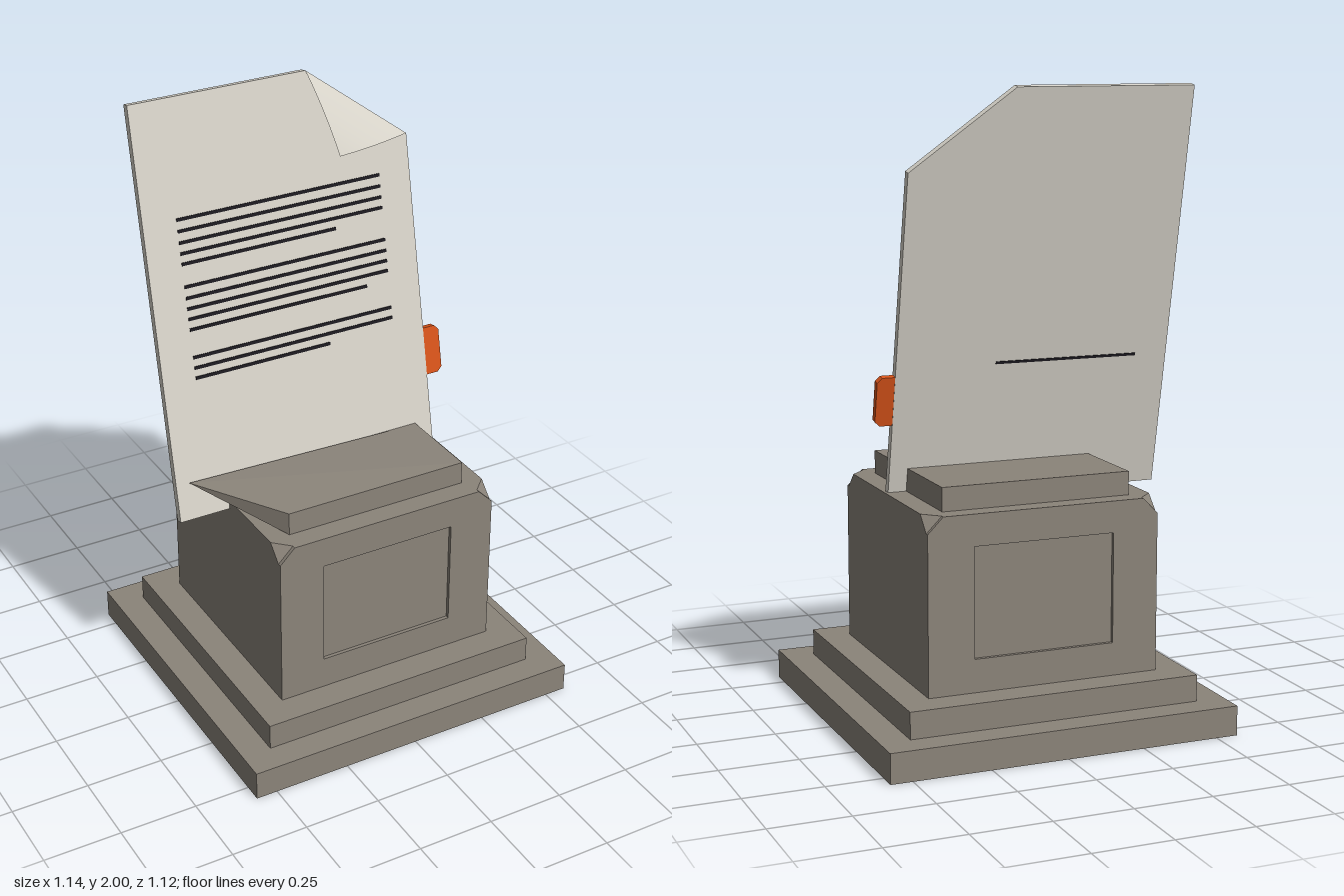
import * as THREE from 'three';
import { ConvexGeometry } from 'three/addons/geometries/ConvexGeometry.js';

const mat = (name, color, extra = {}) => new THREE.MeshStandardMaterial({ name, color, ...extra });
const V = (x, y, z) => new THREE.Vector3(x, y, z);

export function createModel() {
  const model = new THREE.Group();
  model.name = 'documentOnPlinth';
  const stone = mat('stone', 0x8b847a);
  const paper = mat('paper', 0xd8d4ca);
  const flapPaper = paper.clone();
  flapPaper.side = THREE.DoubleSide;
  const ink = mat('ink', 0x1c1a20);
  const orange = mat('orange', 0xd9541a);

  const add = (parent, name, geo, material) => {
    const mesh = new THREE.Mesh(geo, material);
    mesh.name = name;
    parent.add(mesh);
    return mesh;
  };
  const box = (parent, name, x0, x1, y0, y1, z0, z1, material) => {
    const mesh = add(parent, name, new THREE.BoxGeometry(x1 - x0, y1 - y0, z1 - z0), material);
    mesh.position.set((x0 + x1) / 2, (y0 + y1) / 2, (z0 + z1) / 2);
    return mesh;
  };
  const polygon = (pts) => new THREE.Shape(pts.map(([x, y]) => new THREE.Vector2(x, y)));

  // Stepped base
  const plinth = new THREE.Group();
  plinth.name = 'plinth';
  model.add(plinth);
  box(plinth, 'baseSlab', -0.57, 0.57, 0.005, 0.1, -0.56, 0.56, stone);
  box(plinth, 'baseStep', -0.475, 0.475, 0.1, 0.185, -0.47, 0.47, stone);

  // Main block with its top corners cut off
  const W = 0.38, D = 0.36, T = 0.74, cut = 0.05;
  const corners = [];
  for (const sx of [-1, 1]) for (const sz of [-1, 1]) {
    corners.push(V(sx * W, 0.185, sz * D), V(sx * W, T - cut, sz * D),
      V(sx * (W - cut), T, sz * D), V(sx * W, T, sz * (D - cut)));
  }
  add(plinth, 'block', new ConvexGeometry(corners), stone);

  // Front and back facings, each framing a recessed panel
  const facing = polygon([[-W, 0.185], [W, 0.185], [W, T - cut], [W - cut, T], [cut - W, T], [-W, T - cut]]);
  facing.holes.push(polygon([[-0.23, 0.29], [-0.23, 0.64], [0.23, 0.64], [0.23, 0.29]]));
  for (const side of [1, -1]) {
    const geo = new THREE.ExtrudeGeometry(facing, { depth: 0.012, bevelEnabled: false });
    const mesh = add(plinth, side > 0 ? 'frontFacing' : 'backFacing', geo, stone);
    mesh.position.z = side * D;
    if (side < 0) mesh.rotation.y = Math.PI;
  }

  // Cap: plain back half, front half with its rear left corner drawn out
  box(plinth, 'capBack', -0.31, 0.31, 0.74, 0.815, -0.31, 0.02, stone);
  add(plinth, 'capFront', new ConvexGeometry([
    V(-0.31, 0.74, 0.3), V(0.31, 0.74, 0.3), V(-0.31, 0.815, 0.3), V(0.31, 0.815, 0.3),
    V(0.31, 0.74, 0.02), V(0.31, 0.815, 0.02), V(-0.31, 0.74, 0.02), V(-0.51, 0.835, 0.02),
  ]), stone);

  // Leaning sheet; local z = 0 is its front surface
  const tilt = 0.199, bottom = 0.71;
  const page = new THREE.Group();
  page.name = 'page';
  page.position.set(0, bottom, 0.035);
  page.rotation.x = -tilt;
  model.add(page);
  const up = (y) => (y - bottom) / Math.cos(tilt);
  const sheet = polygon([[-0.55, 0], [0.37, 0], [0.37, up(1.75)], [0.04, up(2)], [-0.55, up(2)]]);
  const sheetGeo = new THREE.ExtrudeGeometry(sheet, { depth: 0.025, bevelEnabled: false });
  sheetGeo.translate(0, 0, -0.025);
  add(page, 'sheet', sheetGeo, paper);

  // Folded corner, curling from the diagonal crease to its tip
  const A = V(0.04, up(2), 0), B = V(0.37, up(1.75), 0), C = V(0.085, 1.054, 0.085);
  const flapGeo = new THREE.PlaneGeometry(1, 1, 6, 6);
  const pos = flapGeo.attributes.position;
  for (let i = 0; i < pos.count; i++) {
    const u = pos.getX(i) + 0.5, t = 0.5 - pos.getY(i);
    const p = A.clone().lerp(B, u).lerp(C, t);
    p.z += 2 * t * (1 - t) * 0.025;
    pos.setXYZ(i, p.x, p.y, p.z);
  }
  flapGeo.computeVertexNormals();
  add(page, 'foldedCorner', flapGeo, flapPaper);

  // Ruled text lines: [height, right end]
  const rows = [
    [1.64, 0.26], [1.605, 0.26], [1.57, 0.26], [1.537, 0.26], [1.505, 0.09],
    [1.435, 0.26], [1.4, 0.26], [1.367, 0.26], [1.335, 0.26], [1.302, 0.18],
    [1.215, 0.26], [1.182, 0.26], [1.15, 0.03],
  ];
  for (const [y, end] of rows) {
    box(page, 'textLine', -0.44, end, up(y) - 0.005, up(y) + 0.005, -0.004, 0.003, ink);
  }
  box(page, 'backLine', -0.44, 0.04, up(1.147) - 0.004, up(1.147) + 0.004, -0.028, -0.022, ink);

  // Side tab with clipped outer corners
  const y0 = up(0.965), y1 = up(1.12), c = 0.015;
  const tab = polygon([[0.36, y0], [0.427 - c, y0], [0.427, y0 + c], [0.427, y1 - c], [0.427 - c, y1], [0.36, y1]]);
  const tabGeo = new THREE.ExtrudeGeometry(tab, { depth: 0.023, bevelEnabled: false });
  tabGeo.translate(0, 0, -0.024);
  add(page, 'sideTab', tabGeo, orange);

  return model;
}
